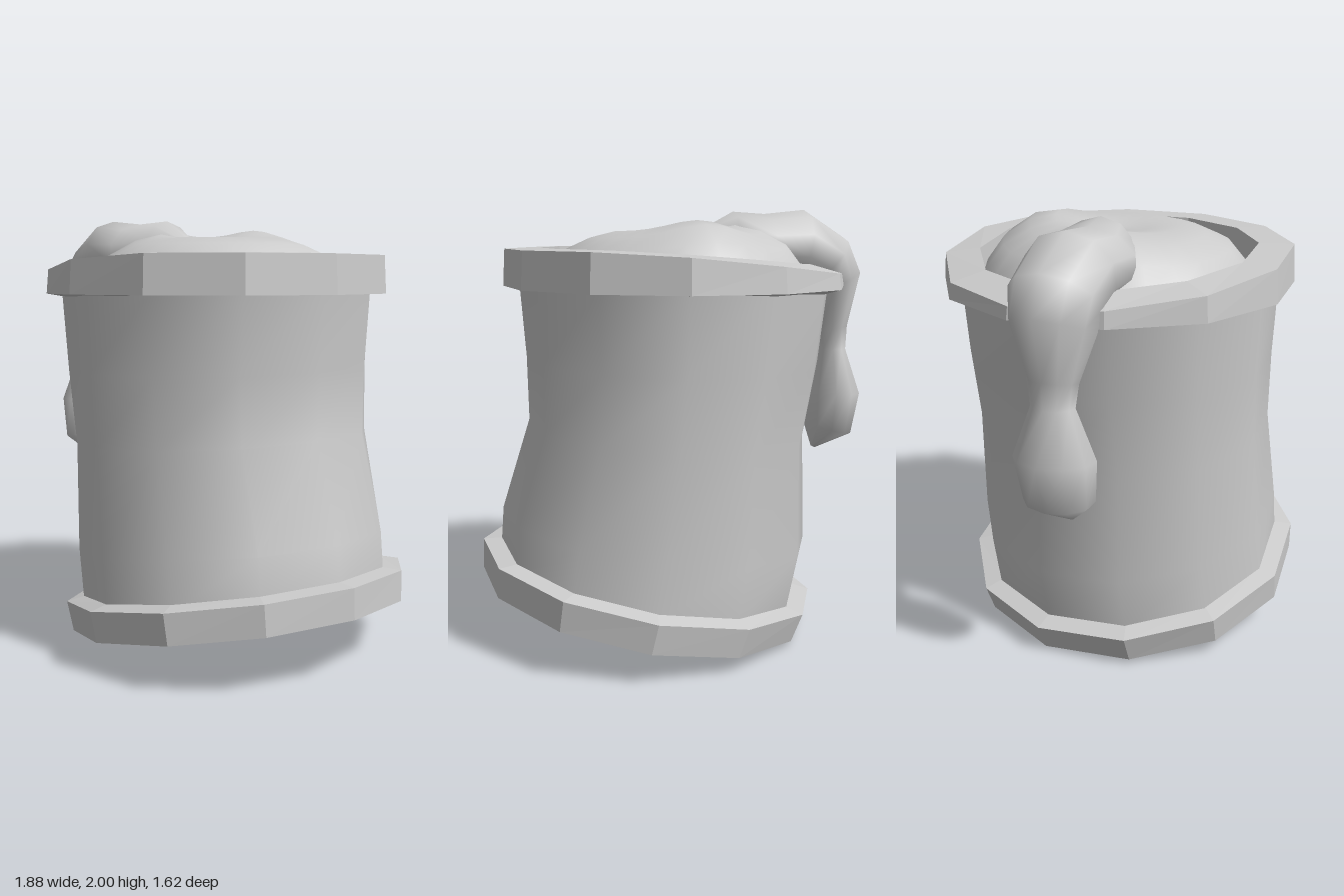
import * as THREE from 'three';

const SIDES = 12;

// Skin a stack of closed rings (arrays of Vector3)
function loft(name, rings, flat) {
  const n = rings[0].length, pos = [], index = [];
  for (const ring of rings) for (const p of ring) pos.push(p.x, p.y, p.z);
  for (let j = 0; j < rings.length - 1; j++) {
    for (let i = 0; i < n; i++) {
      const a = j * n + i, b = j * n + (i + 1) % n;
      index.push(a, b, b + n, a, b + n, a + n);
    }
  }
  let geo = new THREE.BufferGeometry();
  geo.setAttribute('position', new THREE.Float32BufferAttribute(pos, 3));
  geo.setIndex(index);
  if (flat) geo = geo.toNonIndexed();
  geo.computeVertexNormals();
  const mesh = new THREE.Mesh(geo, new THREE.MeshStandardMaterial({
    color: 0xcccccc, flatShading: flat, side: THREE.DoubleSide,
  }));
  mesh.name = name;
  return mesh;
}

// Closed ring from a function of the angle
function ringOf(n, fn) {
  return Array.from({ length: n }, (_, i) => fn(i / n * Math.PI * 2));
}

// Round ring whose plane rises by `rise` from its centre to its +x edge
function tilted(cx, cy, rx, rz, rise, n = SIDES) {
  return ringOf(n, a => new THREE.Vector3(
    cx + rx * Math.cos(a), cy + rise * Math.cos(a), -rz * Math.sin(a)));
}

// Bent can wall
function makeBody() {
  return loft('canBody', [
    tilted(0.135, 0.27, 0.715, 0.73, 0.13),
    tilted(0.10, 0.50, 0.735, 0.725, 0.09),
    tilted(0.04, 0.97, 0.66, 0.71, 0.05),
    tilted(0.01, 1.30, 0.695, 0.72, 0.02),
    tilted(0, 1.66, 0.73, 0.735, 0),
  ], false);
}

// Tilted base plate with a raised edge
function makeBase() {
  return loft('baseRim', [
    tilted(0.165, 0.145, 0, 0, 0),
    tilted(0.165, 0.145, 0.775, 0.80, 0.145),
    tilted(0.135, 0.28, 0.80, 0.81, 0.15),
    tilted(0.135, 0.30, 0.70, 0.72, 0.135),
  ], true);
}

// Top rim, squashed thinner under the spill on the -x side
function makeTopRim() {
  const sag = x => 0.10 * Math.pow(Math.max(0, 0.45 - x) / 1.25, 1.7);
  const ring = (r, y, s) => ringOf(SIDES, a => {
    const x = r * Math.cos(a);
    return new THREE.Vector3(x, y - s * sag(x), -r * Math.sin(a));
  });
  return loft('topRim', [
    ring(0.66, 1.65, 0.6),
    ring(0.805, 1.65, 0.05),
    ring(0.795, 1.82, 1.2),
    ring(0.635, 1.825, 1.0),
    ring(0.625, 1.58, 0),
  ], true);
}

// Lumpy filling inside the rim
function makeFilling() {
  const profile = [[0.63, 1.64], [0.60, 1.72], [0.52, 1.815], [0.40, 1.87],
    [0.28, 1.90], [0.14, 1.885], [0, 1.87]];
  const rings = profile.map(([r, y]) => ringOf(24, a => {
    const x = r * Math.cos(a), z = -r * Math.sin(a);
    const ridge = 0.06 * Math.exp(-((x + 0.1) ** 2 + (z + 0.36) ** 2) / 0.04);
    const swell = 0.05 * Math.exp(-((x + 0.4) ** 2 + (z - 0.13) ** 2) / 0.05);
    return new THREE.Vector3(x, y + ridge + swell, z);
  }));
  return loft('filling', rings, false);
}

// Spill running over the rim and hanging down in a drop:
// outer x, outer y, inner x, inner y, centre z, half width
function makeDrip() {
  const sections = [
    [-0.08, 1.88, -0.08, 1.80, 0.08, 0.02],
    [-0.28, 1.99, -0.25, 1.72, 0.10, 0.15],
    [-0.44, 1.98, -0.42, 1.68, 0.15, 0.21],
    [-0.64, 2.00, -0.58, 1.66, 0.18, 0.20],
    [-0.84, 1.87, -0.65, 1.64, 0.20, 0.19],
    [-0.92, 1.71, -0.65, 1.59, 0.22, 0.17],
    [-0.87, 1.44, -0.71, 1.41, 0.22, 0.10],
    [-0.865, 1.32, -0.73, 1.32, 0.22, 0.09],
    [-0.935, 1.10, -0.68, 1.10, 0.23, 0.17],
    [-0.90, 0.89, -0.69, 0.93, 0.24, 0.15],
    [-0.74, 0.80, -0.72, 0.81, 0.26, 0.01],
  ];
  const rings = sections.map(([ox, oy, ix, iy, zc, w]) => ringOf(10, a => {
    const k = (1 + Math.cos(a)) / 2, side = -Math.sin(a) * w;
    return new THREE.Vector3(ix + (ox - ix) * k + 0.2 * side,
      iy + (oy - iy) * k, zc + side);
  }));
  return loft('drip', rings, false);
}

export function createModel() {
  const model = new THREE.Group();
  model.name = 'bentCan';
  model.add(makeBody(), makeBase(), makeTopRim(), makeFilling(), makeDrip());
  return model;
}
